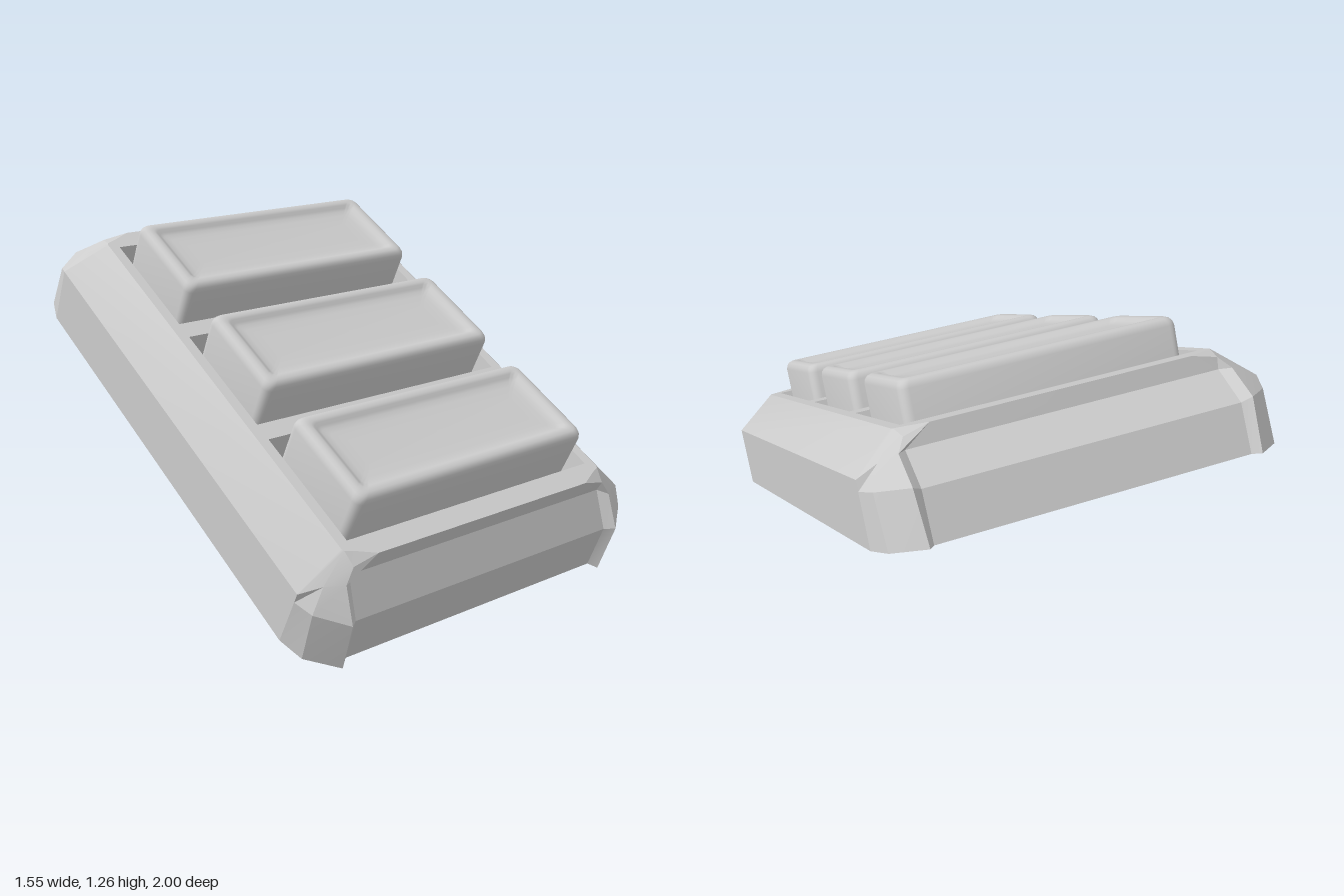
import * as THREE from 'three';
import { toCreasedNormals } from 'three/addons/utils/BufferGeometryUtils.js';

const TOP = 0.37;            // height of the case's top face
const PITCH = 0.583;         // spacing of the keys
const KEY_ROWS = [-PITCH, 0, PITCH];
const material = new THREE.MeshStandardMaterial({ color: 0xcccccc });

// Skin between closed rings of [x, y, z] points, counter-clockwise from above
function loft(rings, crease) {
  const n = rings[0].length;
  const index = [];
  for (let r = 0; r < rings.length - 1; r++) {
    for (let i = 0; i < n; i++) {
      const j = (i + 1) % n;
      const a = r * n + i, b = r * n + j;
      index.push(a, b, b + n, a, b + n, a + n);
    }
  }
  const geometry = new THREE.BufferGeometry();
  geometry.setAttribute('position', new THREE.Float32BufferAttribute(rings.flat(2), 3));
  geometry.setIndex(index);
  return toCreasedNormals(geometry, crease);
}

const pointRing = (n, y) => Array.from({ length: n }, () => [0, y, 0]);

// Mirror one corner's points (side to end) into a full ring
function mirrorCorner(points) {
  const flip = (list, sx, sz) => list.map(([x, y, z]) => [x * sx, y, z * sz]);
  const back = [...points].reverse();
  return [...flip(points, 1, -1), ...flip(back, -1, -1), ...flip(points, -1, 1), ...flip(back, 1, 1)];
}

// Rounded rectangle ring
function roundedRing(hx, hz, radius, y, steps = 5) {
  const corner = [];
  for (let i = 0; i <= steps; i++) {
    const a = (i / steps) * Math.PI / 2;
    corner.push([hx - radius + radius * Math.cos(a), y, hz - radius + radius * Math.sin(a)]);
  }
  return mirrorCorner(corner);
}

function mesh(name, geometry) {
  const m = new THREE.Mesh(geometry, material);
  m.name = name;
  return m;
}

// Case shell: bevelled corners, with a shallow recess between them at each end
function caseGeometry() {
  const levels = [
    [[0.773, 0, 0.89], [0.742, 0, 0.985], [0.63, 0, 1.073], [0.605, 0, 1.04]],
    [[0.773, 0.2, 0.89], [0.745, 0.2, 0.96], [0.64, 0.2, 1.05], [0.605, 0.185, 1.025]],
    [[0.773, 0.24, 0.89], [0.7, 0.28, 0.92], [0.635, 0.3, 0.955], [0.6, 0.3, 0.92]],
    [[0.615, TOP, 0.86], [0.61, TOP, 0.87], [0.6, 0.345, 0.925], [0.5, TOP, 0.92]],
    [[0.615, TOP, 0.86], [0.61, TOP, 0.87], [0.57, TOP, 0.886], [0.5, TOP, 0.92]],
  ].map(mirrorCorner);
  return { geometry: loft([pointRing(16, 0), ...levels], 0.3), rim: levels.at(-1) };
}

// Top face with a rectangular opening for each key
const POCKET_X = 0.575, POCKET_Z = 0.252;
function topGeometry(rim) {
  const shape = new THREE.Shape(rim.map(([x, , z]) => new THREE.Vector2(x, -z)));
  for (const z of KEY_ROWS) {
    shape.holes.push(new THREE.Path([[1, 1], [1, -1], [-1, -1], [-1, 1]]
      .map(([sx, sy]) => new THREE.Vector2(sx * POCKET_X, -z + sy * POCKET_Z))));
  }
  return new THREE.ShapeGeometry(shape).rotateX(-Math.PI / 2).translate(0, TOP, 0);
}

// Inward-facing walls and floor of an opening
function pocketGeometry() {
  const ring = (inset, y) => mirrorCorner([[POCKET_X - inset, y, POCKET_Z - inset]]);
  return loft([ring(0, TOP), ring(0.012, 0.2), pointRing(4, 0.2)], 0.5);
}

// Key with softly rounded rim and dished top: [inset, height]
function keyGeometry() {
  const steps = [
    [0, 0.2], [0, 0.475], [0.004, 0.491], [0.012, 0.502], [0.024, 0.508], [0.042, 0.508],
    [0.052, 0.504], [0.062, 0.495], [0.075, 0.489], [0.1, 0.486], [0.15, 0.484],
  ];
  const rings = steps.map(([inset, y]) =>
    roundedRing(0.54 - inset, 0.212 - inset, Math.max(0.035 - inset * 0.2, 0.015), y));
  return loft([...rings, pointRing(rings[0].length, 0.483)], 0.9);
}

export function createModel() {
  const model = new THREE.Group();
  model.name = 'keypad';

  // Everything is built flat, then tilted as one piece
  const tilted = new THREE.Group();
  tilted.name = 'tiltedKeypad';
  tilted.rotation.x = 0.4534;
  tilted.position.set(0, 0.47, -0.035);
  model.add(tilted);

  const shell = caseGeometry();
  tilted.add(mesh('caseShell', shell.geometry), mesh('caseTop', topGeometry(shell.rim)));

  const pocket = pocketGeometry();
  const key = keyGeometry();
  for (const z of KEY_ROWS) {
    const row = new THREE.Group();
    row.name = 'keyRow';
    row.position.z = z;
    row.add(mesh('keyPocket', pocket), mesh('key', key));
    tilted.add(row);
  }
  return model;
}
